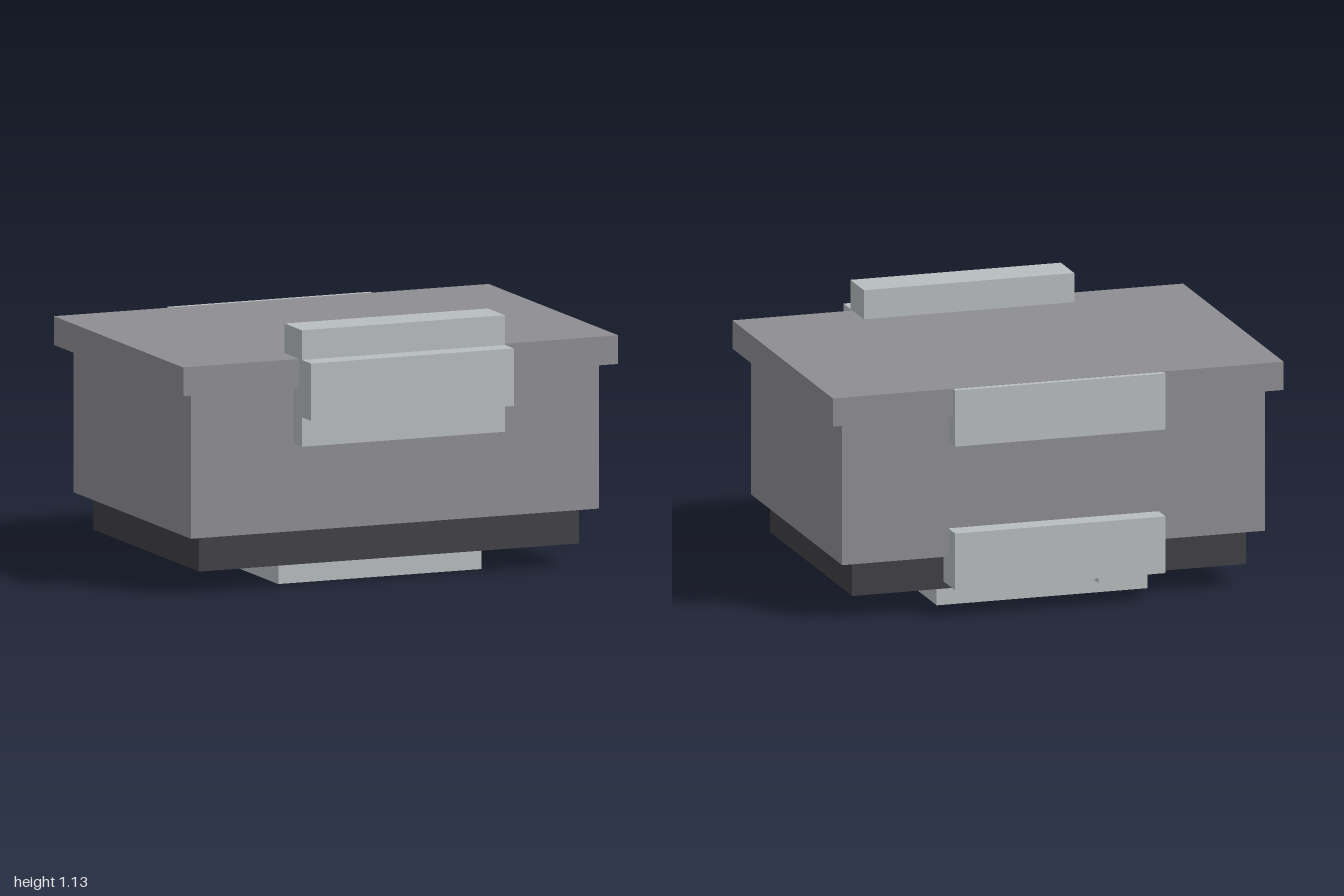
import * as THREE from 'three';

const material = (name, color) => {
  const m = new THREE.MeshStandardMaterial({ color });
  m.name = name;
  return m;
};

export function createModel() {
  const model = new THREE.Group();
  model.name = 'storageCase';

  const shellGrey = material('shell grey', 0x8e8d92);
  const baseCharcoal = material('base charcoal', 0x403f44);
  const paleMetal = material('pale metal', 0xb8bdbf);

  // Box given by its extents along each axis
  const box = (name, mat, [x0, x1], [y0, y1], [z0, z1]) => {
    const mesh = new THREE.Mesh(new THREE.BoxGeometry(x1 - x0, y1 - y0, z1 - z0), mat);
    mesh.position.set((x0 + x1) / 2, (y0 + y1) / 2, (z0 + z1) / 2);
    mesh.name = name;
    model.add(mesh);
  };
  const wide = (half) => [-half, half];

  // Stepped case: lid, body, base
  box('lid', shellGrey, wide(1), [0.877, 1], [-0.735, 0.642]);
  box('body', shellGrey, wide(0.938), [0.252, 0.877], [-0.67, 0.58]);
  box('base', baseCharcoal, wide(0.873), [0.097, 0.252], [-0.608, 0.517]);

  // Foot plate and small tab underneath
  const fitting = wide(0.467);
  box('footPlate', paleMetal, fitting, [0, 0.097], [-0.512, 0.42]);
  box('footTab', paleMetal, [-0.41, -0.22], [0.066, 0.11], [-0.608, -0.5]);

  // Front latch with raised handle
  box('latchPlate', paleMetal, fitting, [0.628, 1.127], [0.487, 0.67]);
  box('latchHandle', paleMetal, fitting, [0.754, 1], [0.66, 0.765]);

  // Rear hinge bars, the upper one set flush into the lid
  box('upperHinge', paleMetal, fitting, [0.754, 0.999], [-0.763, -0.6]);
  box('lowerHinge', paleMetal, fitting, [0.128, 0.375], [-0.763, -0.6]);

  return model;
}
